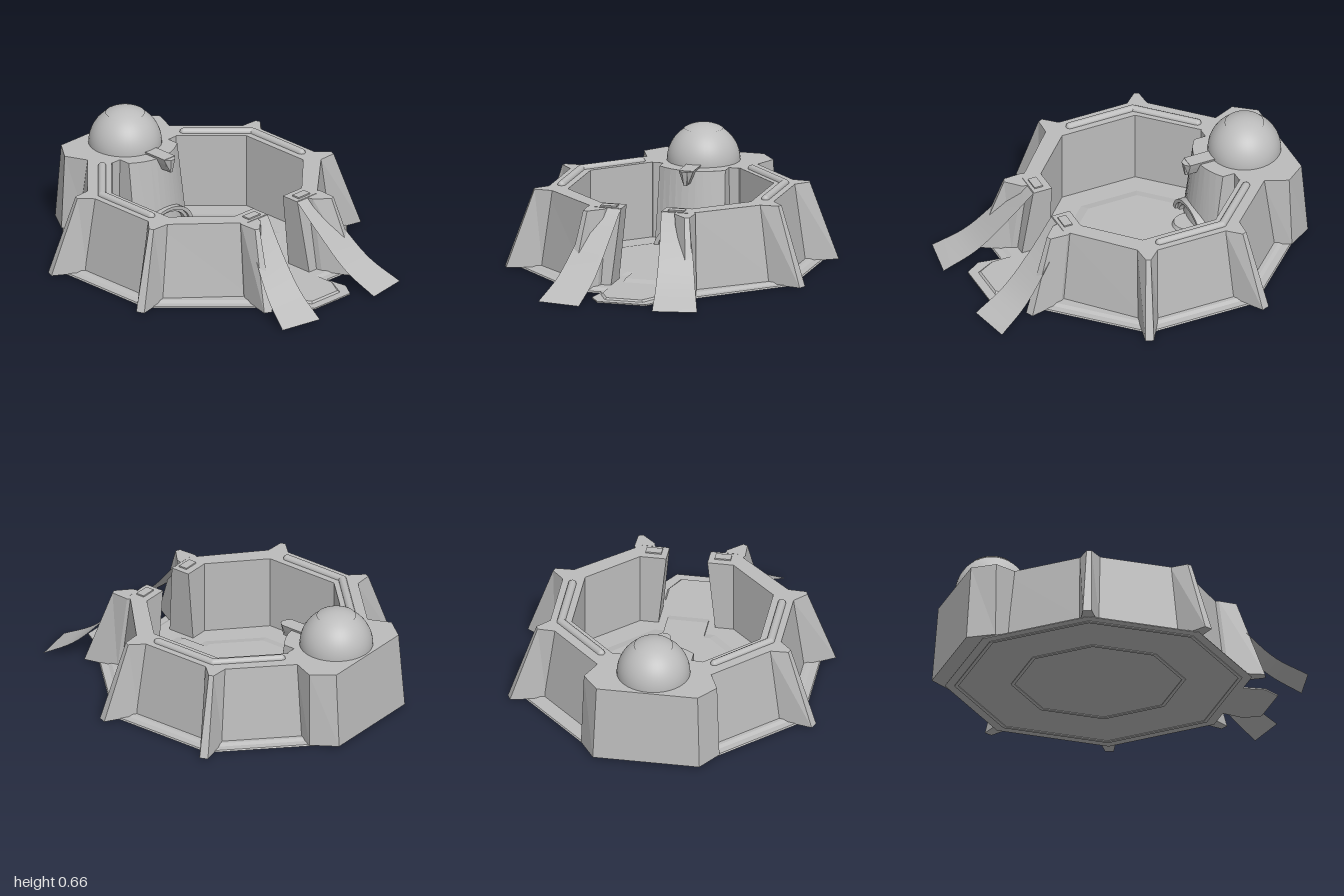
import * as THREE from 'three';

const grey = new THREE.MeshStandardMaterial({ color: 0xbcbcbc });
grey.name = 'light grey';
const greyTwoSided = grey.clone();
greyTwoSided.side = THREE.DoubleSide;

const CZ = -0.125, H = 0.45; // octagon centre and roof height

function add(group, name, geometry, material = grey) {
  const mesh = new THREE.Mesh(geometry, material);
  mesh.name = name;
  group.add(mesh);
  return mesh;
}

// Faceted solid between two convex [x, z] outlines
function loft(bottom, top, y0, y1) {
  const n = bottom.length;
  let area = 0;
  for (let i = 0; i < n; i++) {
    const a = bottom[i], b = bottom[(i + 1) % n];
    area += a[0] * b[1] - b[0] * a[1];
  }
  if (area < 0) { bottom = [...bottom].reverse(); top = [...top].reverse(); }
  const lo = bottom.map(([x, z]) => [x, y0, z]);
  const hi = top.map(([x, z]) => [x, y1, z]);
  const out = [];
  for (let i = 0; i < n; i++) {
    const j = (i + 1) % n;
    out.push(lo[i], hi[i], hi[j], lo[i], hi[j], lo[j]);
    if (i > 0 && i < n - 1) out.push(hi[0], hi[j], hi[i], lo[0], lo[i], lo[j]);
  }
  const g = new THREE.BufferGeometry();
  g.setAttribute('position', new THREE.Float32BufferAttribute(out.flat(), 3));
  g.computeVertexNormals();
  return g;
}

// Octagon corners, starting on the left side towards the front
function octagon(apothem, cz = CZ) {
  const r = apothem / Math.cos(Math.PI / 8);
  return Array.from({ length: 8 }, (_, i) => {
    const a = Math.PI / 8 + i * Math.PI / 4;
    return [r * Math.cos(a), cz + r * Math.sin(a)];
  });
}

const mirror = pts => pts.map(([x, z]) => [-x, z]);
const symmetric = pts => [...pts, ...mirror(pts).reverse()];

export function createModel() {
  const root = new THREE.Group();
  root.name = 'walledOutpost';

  // Stepped base and entrance porch
  const base = new THREE.Group();
  base.name = 'base';
  root.add(base);
  add(base, 'basePlate', loft(octagon(0.79), octagon(0.785), 0.004, 0.012));
  add(base, 'baseStep', loft(octagon(0.745), octagon(0.725), 0.012, 0.022));
  add(base, 'innerFloor', loft(octagon(0.41, -0.11), octagon(0.36, -0.11), 0.022, 0.032));
  const porch = symmetric([[0.165, 0.6], [0.195, 0.79], [0.14, 0.88]]);
  add(base, 'porch', loft(porch, porch, 0.004, 0.012));
  add(base, 'porchStep', loft(
    symmetric([[0.165, 0.58], [0.165, 0.72], [0.11, 0.83]]),
    symmetric([[0.155, 0.58], [0.155, 0.72], [0.1, 0.82]]), 0.012, 0.022));
  add(base, 'entrancePath', loft(
    symmetric([[0.115, 0.2], [0.115, 0.45]]),
    symmetric([[0.115, 0.2], [0.115, 0.4]]), 0.022, 0.032));

  // Low ridges under the base
  for (const r of [0.74, 0.45]) {
    const ridge = new THREE.Shape(octagon(r).map(p => new THREE.Vector2(p[0], p[1])));
    ridge.holes.push(new THREE.Path(octagon(r - 0.02).map(p => new THREE.Vector2(p[0], p[1]))));
    const g = new THREE.ExtrudeGeometry(ridge, { depth: 0.006, bevelEnabled: false });
    g.rotateX(Math.PI / 2).scale(1, 1, 1);
    add(base, 'undersideRidge', g).position.y = 0.006;
  }

  // Everything that exists once per side
  for (const s of [1, -1]) {
    const side = new THREE.Group();
    side.name = s > 0 ? 'leftSide' : 'rightSide';
    root.add(side);
    const flip = pts => pts.map(([x, z]) => [s * x, z]);

    // Wall panels: upright inside, sloping outside
    const inner = [[0.263, 0.375], [0.53, 0.12], [0.53, -0.327], [0.253, -0.605]];
    const outerTop = [[0.269, 0.49], [0.65, 0.144], [0.65, -0.394], [0.269, -0.775]];
    const outerLow = [[0.285, 0.54], [0.705, 0.167], [0.705, -0.417], [0.29, -0.83]];
    for (let i = 0; i < 3; i++) {
      add(side, 'wallPanel', loft(
        flip([inner[i], inner[i + 1], outerLow[i + 1], outerLow[i]]),
        flip([inner[i], inner[i + 1], outerTop[i + 1], outerTop[i]]), 0.012, H));
    }
    add(side, 'gatePost', loft(
      flip([[0.16, 0.375], inner[0], outerLow[0], [0.16, 0.54]]),
      flip([[0.116, 0.375], inner[0], outerTop[0], [0.116, 0.49]]), 0.012, H));
    add(side, 'gatePad', new THREE.BoxGeometry(0.09, 0.008, 0.05))
      .position.set(s * 0.195, H + 0.004, 0.44);

    // Tapered buttresses on the corners
    for (const deg of [67.5, 22.5, -22.5]) {
      const a = deg * Math.PI / 180, c = Math.cos(a), n = Math.sin(a);
      const at = (r, w) => [s * (r * c - w * n), CZ + r * n + w * c];
      const outline = (rootR, tipR, tipW) => [
        at(rootR - 0.09, 0.05), at(rootR - 0.025, 0.058), at(tipR, tipW),
        at(tipR, -tipW), at(rootR - 0.025, -0.058), at(rootR - 0.09, -0.05)];
      add(side, 'buttress', loft(outline(0.755, 0.93, 0.024), outline(0.7, 0.77, 0.014), 0.008, H));
    }

    // Bent rail lying on the roof
    const railPoints = [[0.32, -0.61], [0.59, -0.34], [0.59, 0.045]];
    for (let i = 0; i < 2; i++) {
      const [a, b] = [railPoints[i], railPoints[i + 1]].map(p => new THREE.Vector3(s * p[0], H, p[1]));
      const rail = add(side, 'roofRail', new THREE.CapsuleGeometry(0.023, a.distanceTo(b), 4, 12));
      rail.position.copy(a).lerp(b, 0.5);
      rail.quaternion.setFromUnitVectors(new THREE.Vector3(0, 1, 0), b.clone().sub(a).normalize());
    }

    // Curved awning strip, widening and splaying towards the ground
    const curve = new THREE.CatmullRomCurve3([
      new THREE.Vector3(0, 0.452, 0.485), new THREE.Vector3(0, 0.285, 0.62),
      new THREE.Vector3(0, 0.11, 0.79), new THREE.Vector3(0, 0.005, 0.97)]);
    const awning = new THREE.PlaneGeometry(1, 1, 2, 16);
    const p = awning.attributes.position;
    for (let i = 0; i < p.count; i++) {
      const t = 0.5 - p.getY(i), u = p.getX(i) + 0.5, v = s > 0 ? u : 1 - u;
      const q = curve.getPoint(t);
      const x = THREE.MathUtils.lerp(0.116 + 0.096 * t, 0.27 + 0.19 * t, v);
      p.setXYZ(i, s * x, q.y, q.z + (0.025 - 0.045 * v) * t);
    }
    awning.computeVertexNormals();
    add(side, 'awning', awning, greyTwoSided);
  }

  // Rear tower block with a bowed front
  const tower = new THREE.Group();
  tower.name = 'tower';
  root.add(tower);
  add(tower, 'towerBlock', loft(
    symmetric([[0.3, -1.0], [0.39, -0.86], [0.315, -0.71], [0.25, -0.6]]),
    symmetric([[0.285, -0.968], [0.375, -0.85], [0.315, -0.71], [0.25, -0.6]]), 0.012, H));
  const bow = (halfW, sideZ, frontZ) => {
    const pts = [[halfW, -0.65]];
    for (let i = 0; i <= 10; i++) {
      const k = 1 - i / 5;
      pts.push([halfW * k, frontZ + (sideZ - frontZ) * k * k]);
    }
    return [...pts, [-halfW, -0.65]];
  };
  add(tower, 'towerFront', loft(bow(0.2, -0.47, -0.41), bow(0.19, -0.53, -0.46), 0.012, H));

  // Low arched doorway
  const ring = (rOut, rIn, depth) => {
    const shape = new THREE.Shape();
    shape.absarc(0, 0, rOut, 0, Math.PI, false);
    if (rIn) shape.absarc(0, 0, rIn, Math.PI, 0, true);
    return new THREE.ExtrudeGeometry(shape, { depth, bevelEnabled: false, curveSegments: 20 })
      .scale(1, 0.72, 1);
  };
  add(tower, 'doorFrame', ring(0.185, 0.16, 0.1)).position.set(0, 0.022, -0.5);
  add(tower, 'doorInnerFrame', ring(0.16, 0.14, 0.085)).position.set(0, 0.022, -0.5);
  add(tower, 'doorStep', new THREE.CylinderGeometry(0.075, 0.085, 0.02, 24))
    .position.set(0, 0.042, -0.4);

  // Dome with a raised cap
  add(tower, 'dome', new THREE.SphereGeometry(0.205, 40, 16, 0, Math.PI * 2, 0, Math.PI / 2))
    .position.set(0, H, -0.75);
  add(tower, 'domeCap', new THREE.SphereGeometry(0.21, 32, 6, 0, Math.PI * 2, 0, 0.55), greyTwoSided)
    .position.set(0, H, -0.75);

  // Pointed spout over the doorway
  const vee = new THREE.Shape([[-0.042, 0.015], [-0.03, -0.02], [-0.01, -0.068], [0.01, -0.068],
    [0.03, -0.02], [0.042, 0.015]].map(([x, y]) => new THREE.Vector2(x, y)));
  add(tower, 'spout', new THREE.ExtrudeGeometry(vee, { depth: 0.16, bevelEnabled: false }))
    .position.set(0, H, -0.56);
  add(tower, 'spoutNose', loft(
    [[-0.01, -0.4], [0.01, -0.4], [0.008, -0.385], [-0.008, -0.385]],
    [[-0.042, -0.4], [0.042, -0.4], [0.015, -0.372], [-0.015, -0.372]], H - 0.068, H + 0.012));

  return root;
}
